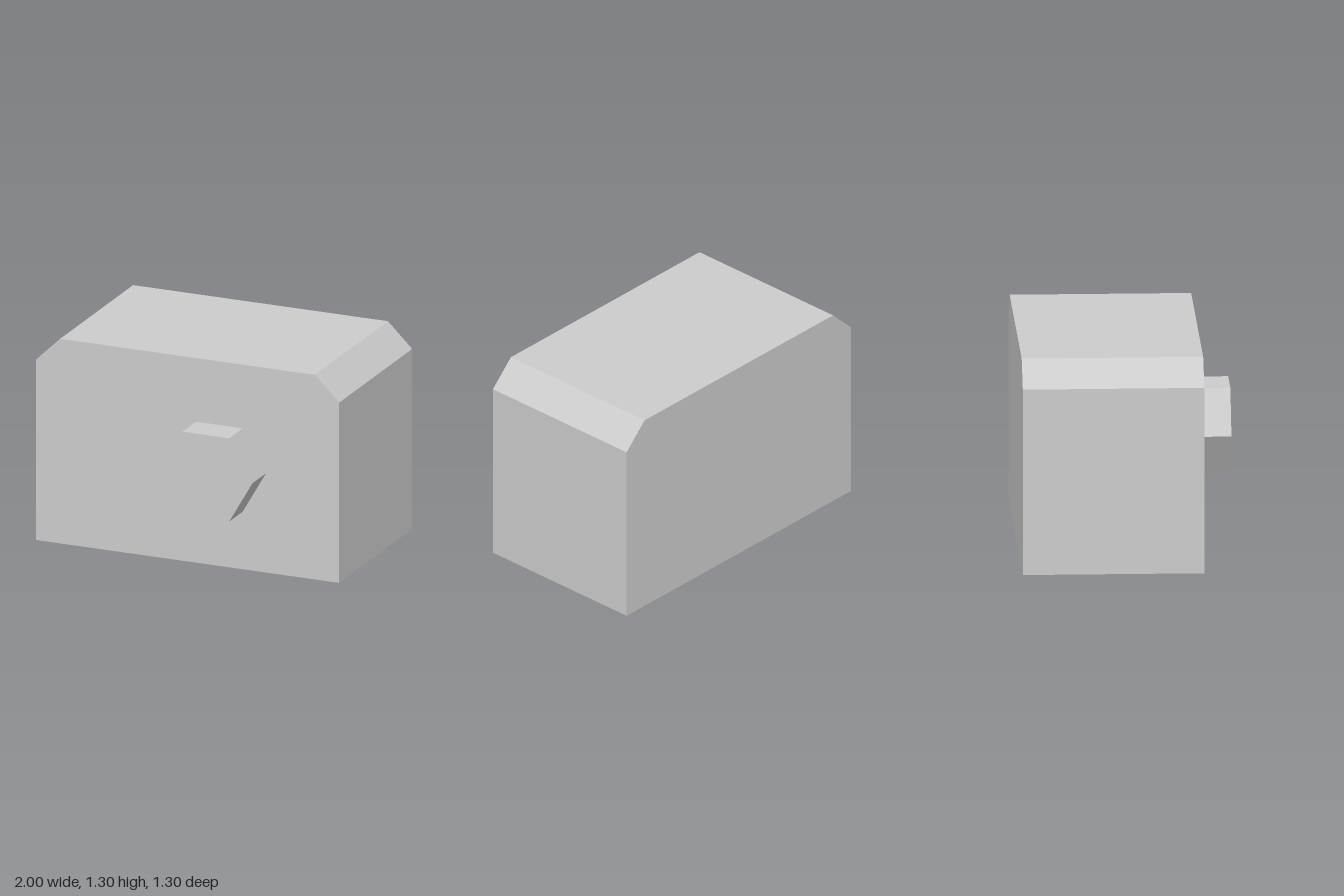
import * as THREE from 'three';

const grey = new THREE.MeshStandardMaterial({ color: 0xcccccc });
grey.name = 'light grey';

// Straight prism from an xy outline, running from zBack to zFront
function prism(name, points, zBack, zFront) {
  const shape = new THREE.Shape(points.map(([x, y]) => new THREE.Vector2(x, y)));
  const geometry = new THREE.ExtrudeGeometry(shape, { depth: zFront - zBack, bevelEnabled: false });
  geometry.translate(0, 0, zBack);
  const mesh = new THREE.Mesh(geometry, grey);
  mesh.name = name;
  return mesh;
}

export function createModel() {
  const model = new THREE.Group();
  model.name = 'chamferedBlockWithKnob';

  // Block with its two upper side edges cut off
  const outline = [[-1, 0], [1, 0], [1, 1.15], [0.84, 1.305], [-0.84, 1.305], [-1, 1.15]];
  model.add(prism('body', outline, -0.65, 0.447));

  // Six-sided knob on the front, off centre
  const hexagon = [];
  for (let i = 0; i < 6; i++) {
    const a = (i * Math.PI) / 3;
    hexagon.push([0.21 + 0.307 * Math.cos(a), 0.633 + 0.307 * Math.sin(a)]);
  }
  model.add(prism('hexKnob', hexagon, 0.447, 0.65));

  return model;
}
